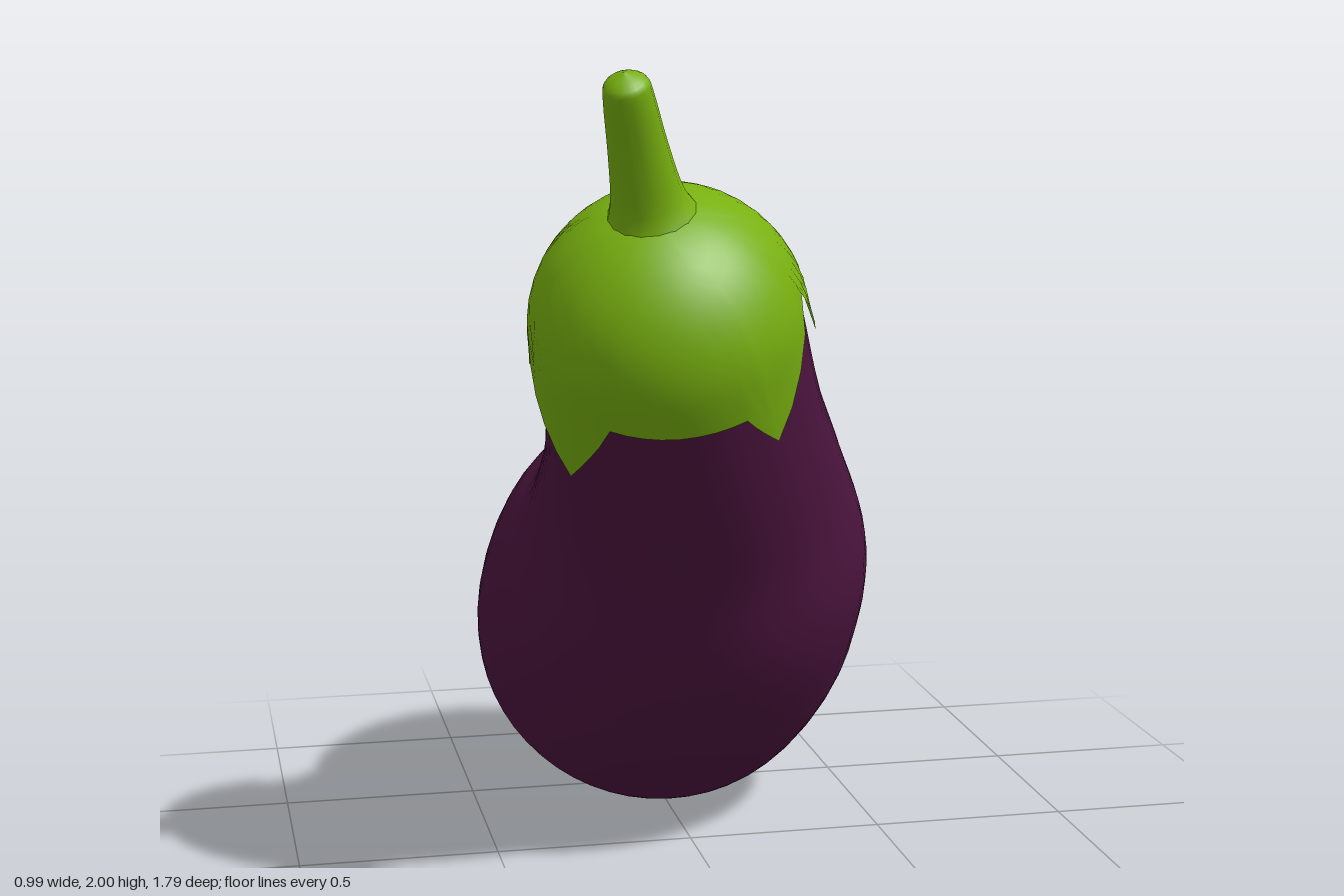
import * as THREE from 'three';

const V = (x, y, z) => new THREE.Vector3(x, y, z);

// Skin a list of closed rings (equal point counts) with smooth normals
function skin(rings, flip = false) {
  const n = rings[0].length, index = [];
  for (let i = 0; i < rings.length - 1; i++) {
    for (let j = 0; j < n; j++) {
      const k = (j + 1) % n;
      const a = i * n + j, b = i * n + k, c = a + n, d = b + n;
      if (flip) index.push(a, d, b, a, c, d);
      else index.push(a, b, d, a, d, c);
    }
  }
  const geo = new THREE.BufferGeometry().setFromPoints(rings.flat());
  geo.setIndex(index);
  geo.computeVertexNormals();
  return geo;
}

// Round loft through stations [x, y, z, radius]
function loft(stations, steps, sides) {
  const path = new THREE.CatmullRomCurve3(stations.map(s => V(s[0], s[1], s[2])), false, 'catmullrom');
  const size = new THREE.CatmullRomCurve3(stations.map(s => V(s[3], 0, 0)), false, 'catmullrom');
  const rings = [];
  for (let i = 0; i <= steps; i++) {
    const t = i / steps, p = path.getPoint(t), dir = path.getTangent(t);
    const r = i === 0 || i === steps ? 0.0005 : Math.max(0.0005, size.getPoint(t).x);
    const e1 = V(1, 0, 0).addScaledVector(dir, -dir.x).normalize();
    const e2 = dir.clone().cross(e1);
    rings.push(Array.from({ length: sides }, (_, j) => {
      const a = j / sides * Math.PI * 2;
      return p.clone().addScaledVector(e1, r * Math.cos(a)).addScaledVector(e2, r * Math.sin(a));
    }));
  }
  return skin(rings);
}

// Stations of a hemispherical end, from the pole to just before the equator (or back)
function cap(center, dir, r, reverse) {
  const out = [];
  for (let i = 0; i < 5; i++) {
    const a = i / 5 * Math.PI / 2;
    const p = center.clone().addScaledVector(dir, r * Math.cos(a));
    out.push([p.x, p.y, p.z, r * Math.sin(a)]);
  }
  return reverse ? out.reverse() : out;
}

const HEAD = V(-0.17, 1.42, 0.56);
const AXIS = V(-0.23, 0.78, 0.58).normalize();

// Leafy cap: a dome that runs on into pointed lobes
function calyxGeometry() {
  const R = 0.32, quarter = R * Math.PI / 2;
  const e1 = V(1, 0, 0).addScaledVector(AXIS, -AXIS.x).normalize();
  const e2 = AXIS.clone().cross(e1);
  // Rim points, alternating lobe tip and notch
  const rim = [
    [0.21, 1.39, 0.48], [0.12, 1.58, 0.54],
    [0.08, 1.60, 0.30], [-0.15, 1.66, 0.41],
    [-0.22, 1.52, 0.19], [-0.40, 1.50, 0.38],
    [-0.44, 1.32, 0.28], [-0.47, 1.33, 0.50],
    [-0.39, 1.08, 0.55], [-0.33, 1.22, 0.73],
    [-0.20, 1.17, 0.83], [-0.04, 1.23, 0.80],
    [0.05, 1.17, 0.73], [0.11, 1.50, 0.72]
  ].map(c => {
    const d = V(...c).sub(HEAD), h = d.dot(AXIS);
    return {
      az: Math.atan2(d.dot(e2), d.dot(e1)),
      len: h > 0 ? R * Math.acos(Math.min(1, h / R)) : quarter - h
    };
  });
  const columns = [], sub = 4, rows = 12;
  rim.forEach((p, i) => {
    const q = rim[(i + 1) % rim.length];
    const turn = Math.atan2(Math.sin(q.az - p.az), Math.cos(q.az - p.az));
    for (let k = 0; k < sub; k++) {
      const t = k / sub;
      // Lobe sides bow outward slightly
      const w = i % 2 ? Math.pow(t, 0.9) : 1 - Math.pow(1 - t, 0.9);
      columns.push({ az: p.az + turn * t, len: p.len + (q.len - p.len) * w });
    }
  });
  const rings = [];
  for (let i = 0; i <= rows; i++) {
    rings.push(columns.map(({ az, len }) => {
      const s = Math.max(0.001, len * i / rows), over = Math.max(0, s - quarter);
      const a = Math.min(s, quarter) / R;
      const r = R * Math.sin(a) + 0.12 * over;
      return HEAD.clone().addScaledVector(AXIS, R * Math.cos(a) - over)
        .addScaledVector(e1, r * Math.cos(az)).addScaledVector(e2, r * Math.sin(az));
    }));
  }
  return skin(rings, true);
}

export function createModel() {
  const model = new THREE.Group();
  model.name = 'eggplant';
  const purple = new THREE.MeshStandardMaterial({ color: 0x4d153f });
  const green = new THREE.MeshStandardMaterial({ color: 0x78b010, side: THREE.DoubleSide });
  const add = (name, geo, mat) => {
    const mesh = new THREE.Mesh(geo, mat);
    mesh.name = name;
    model.add(mesh);
  };

  // Fruit: round bulb, bent neck, domed top hidden under the leaves
  const bulb = V(0, 0.49, -0.405);
  add('fruit', loft([
    ...cap(bulb, V(-0.06, -0.56, -0.82).normalize(), 0.49, false),
    [0, 0.49, -0.405, 0.49],
    [0, 0.63, -0.2, 0.488],
    [0, 0.78, 0.01, 0.445],
    [-0.04, 0.98, 0.2, 0.375],
    [-0.10, 1.18, 0.39, 0.325],
    [HEAD.x, HEAD.y, HEAD.z, 0.302],
    ...cap(HEAD, AXIS, 0.302, true)
  ], 75, 56), purple);

  add('calyx', calyxGeometry(), green);

  // Stem: flared foot, tapering to a rounded tip
  add('stem', loft([
    [-0.22, 1.61, 0.655, 0.15],
    [-0.23, 1.66, 0.68, 0.115],
    [-0.248, 1.72, 0.71, 0.083],
    [-0.28, 1.83, 0.77, 0.066],
    [-0.312, 1.94, 0.835, 0.055],
    [-0.322, 1.975, 0.853, 0.045],
    [-0.327, 1.995, 0.863, 0]
  ], 24, 16), green);

  return model;
}
